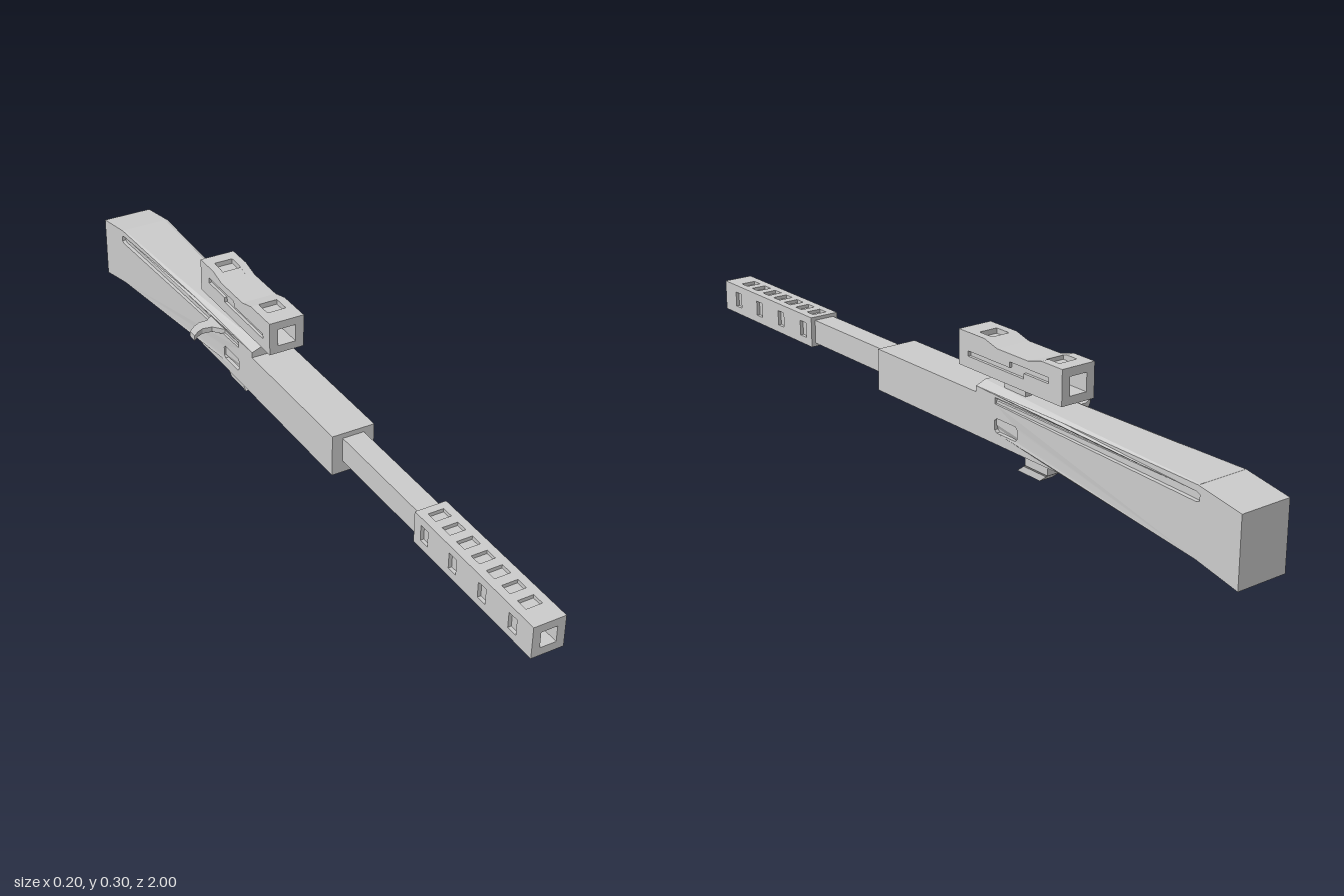
import * as THREE from 'three';

const material = new THREE.MeshStandardMaterial({ color: 0xcccccc, flatShading: true });
const outline = (pts) => pts.map(([a, b]) => new THREE.Vector2(a, b));
const rect = (a0, a1, b0, b1) => [[a0, b0], [a1, b0], [a1, b1], [a0, b1]];

function prism(pts, depth, holes = []) {
  const shape = new THREE.Shape(outline(pts));
  for (const h of holes) shape.holes.push(new THREE.Path(outline(h)));
  return new THREE.ExtrudeGeometry(shape, { depth, bevelEnabled: false });
}

// Side profile of (z, y) points, extruded from x0 to x1
function slab(pts, x0, x1, holes) {
  return prism(pts, x1 - x0, holes).rotateY(-Math.PI / 2).translate(x1, 0, 0);
}

function box(x0, x1, y0, y1, z0, z1) {
  return new THREE.BoxGeometry(x1 - x0, y1 - y0, z1 - z0)
    .translate((x0 + x1) / 2, (y0 + y1) / 2, (z0 + z1) / 2);
}

// Moves every vertex by a rule
function warp(geo, rule) {
  const p = geo.attributes.position;
  const v = new THREE.Vector3();
  for (let i = 0; i < p.count; i++) {
    rule(v.fromBufferAttribute(p, i));
    p.setXYZ(i, v.x, v.y, v.z);
  }
  geo.computeVertexNormals();
  return geo;
}

export function createModel() {
  const root = new THREE.Group();
  const model = new THREE.Group();
  model.name = 'rifle';
  model.position.x = 0.0325;
  root.add(model);
  const add = (name, geo, parent = model) => {
    const mesh = new THREE.Mesh(geo, material);
    mesh.name = name;
    parent.add(mesh);
    return mesh;
  };
  const group = (name) => {
    const g = new THREE.Group();
    g.name = name;
    model.add(g);
    return g;
  };

  // Body and stock: a core with grooved side skins, flaring toward the butt
  const flare = (v) => {
    v.x += Math.sign(v.x) * 0.012 * THREE.MathUtils.clamp((-0.45 - v.z) / 0.43, 0, 1);
  };
  const profile = [
    [0.24, 0.065], [0.24, 0.172], [-0.15, 0.172], [-0.15, 0.187], [-0.45, 0.187],
    [-0.88, 0.187], [-1, 0.166], [-1, 0], [-0.88, 0.026], [-0.45, 0.066],
  ];
  const groove = [
    [-0.22, 0.163], [-0.22, 0.178], [-0.45, 0.176], [-0.875, 0.172],
    [-0.885, 0.168], [-0.885, 0.154], [-0.875, 0.15], [-0.45, 0.159],
  ];
  const port = [
    [-0.22, 0.1], [-0.22, 0.123], [-0.227, 0.129], [-0.293, 0.129],
    [-0.3, 0.123], [-0.3, 0.1], [-0.293, 0.094], [-0.227, 0.094],
  ];
  const body = group('body');
  add('bodyCore', warp(slab(profile, -0.0455, 0.0455), flare), body);
  add('leftSkin', warp(slab(profile, 0.0455, 0.0555, [groove, port]), flare), body);
  add('rightSkin', warp(slab(profile, -0.0555, -0.0455, [groove, port]), flare), body);

  // Chamfered ridge on top, fading out toward the butt
  const ridge = new THREE.BoxGeometry(2, 1, 2, 1, 1, 2).toNonIndexed();
  add('topRidge', warp(ridge, (v) => {
    const side = Math.sign(v.x);
    const t = (1 - v.z) / 2;
    const top = v.y > 0;
    v.z = t === 0 ? -0.15 : t < 1 ? -0.45 : -0.88;
    v.x = side * (top ? 0.028 + 0.034 * t : 0.0555);
    v.y = top ? 0.197 - 0.0095 * t : 0.186;
    if (!top) flare(v);
  }), body);

  // Barrel
  add('barrel', box(-0.028, 0.028, 0.097, 0.159, 0.2, 0.58));

  // Muzzle: a hollow liner inside four slotted panels
  const muzzle = group('muzzle');
  muzzle.position.y = 0.128;
  add('muzzleLiner', prism(rect(-0.031, 0.031, -0.031, 0.031), 0.435,
    [rect(-0.02, 0.02, -0.02, 0.02)]).translate(0, 0, 0.565), muzzle);
  const wide = [], tall = [];
  for (let i = 0; i < 7; i++) {
    const z = 0.59 + i * 0.055;
    wide.push(rect(z - 0.004, z + 0.026, -0.02, 0.02));
  }
  for (let i = 0; i < 4; i++) {
    const z = 0.605 + i * 0.109;
    tall.push(rect(z - 0.014, z + 0.014, -0.02, 0.02));
  }
  for (let i = 0; i < 4; i++) {
    const panel = slab(rect(0.565, 1, -0.04, 0.04), 0.03, 0.04, i % 2 ? wide : tall);
    add('muzzlePanel', panel.rotateZ(i * Math.PI / 2), muzzle);
  }

  // Sight: open tube, slotted sides and a dipped top with two windows
  const sight = group('sight');
  add('sightTube', prism(rect(-0.039, 0.039, 0.222, 0.29), 0.365,
    [rect(-0.024, 0.024, 0.237, 0.282)]).translate(0, 0, -0.44), sight);
  add('sightFloor', box(-0.0465, 0.0465, 0.217, 0.225, -0.44, -0.075), sight);
  const crest = [
    [-0.075, 0.303], [-0.17, 0.303], [-0.215, 0.291],
    [-0.325, 0.291], [-0.37, 0.303], [-0.44, 0.303],
  ];
  const sideProfile = [[-0.44, 0.217], [-0.075, 0.217], ...crest];
  const railProfile = [[-0.44, 0.285], [-0.075, 0.285], ...crest];
  const slot = [
    [-0.11, 0.245], [-0.11, 0.258], [-0.26, 0.258], [-0.26, 0.272],
    [-0.395, 0.272], [-0.395, 0.258], [-0.31, 0.258], [-0.31, 0.245],
  ];
  for (const s of [-1, 1]) {
    const span = (a, b) => (s > 0 ? [a, b] : [-b, -a]);
    add('sightSide', slab(sideProfile, ...span(0.0385, 0.0465), [slot]), sight);
    add('sightRail', slab(railProfile, ...span(0.025, 0.0385)), sight);
  }
  add('sightFrontBar', box(-0.025, 0.025, 0.285, 0.303, -0.125, -0.075), sight);
  add('sightRearBar', box(-0.025, 0.025, 0.285, 0.303, -0.44, -0.405), sight);
  add('sightMiddle', slab([[-0.36, 0.285], [-0.17, 0.285], [-0.17, 0.303],
    [-0.215, 0.291], [-0.325, 0.291], [-0.36, 0.3]], -0.025, 0.025), sight);

  // Notched mount below the sight
  add('sightMount', prism([
    [-0.028, 0.19], [0.028, 0.19], [0.028, 0.208], [0.034, 0.218],
    [0.009, 0.218], [0, 0.21], [-0.009, 0.218], [-0.034, 0.218],
  ], 0.075).translate(0, 0, -0.295));

  // Trigger: a block with a narrower foot swept forward
  add('triggerBlock', box(-0.0275, 0.0275, 0.03, 0.07, -0.375, -0.295));
  const foot = new THREE.BoxGeometry(2, 2, 2, 1, 2, 1).toNonIndexed();
  add('triggerFoot', warp(foot, (v) => {
    const level = Math.round(v.y) + 1;
    v.x *= [0.018, 0.018, 0.0275][level];
    v.z = [-0.297, -0.319, -0.335][level] + v.z * 0.04;
    v.y = [0.003, 0.02, 0.03][level];
  }));

  // Curved handle on the right side
  const handle = [
    [-0.133, 0.333], [-0.115, 0.35], [-0.093, 0.362], [-0.072, 0.362], [-0.052, 0.378],
    [-0.052, 0.3], [-0.075, 0.326], [-0.1, 0.33], [-0.117, 0.322], [-0.133, 0.308],
  ];
  add('handle', prism(handle.reverse(), 0.014).rotateX(-Math.PI / 2).translate(0, 0.159, 0));

  return root;
}
